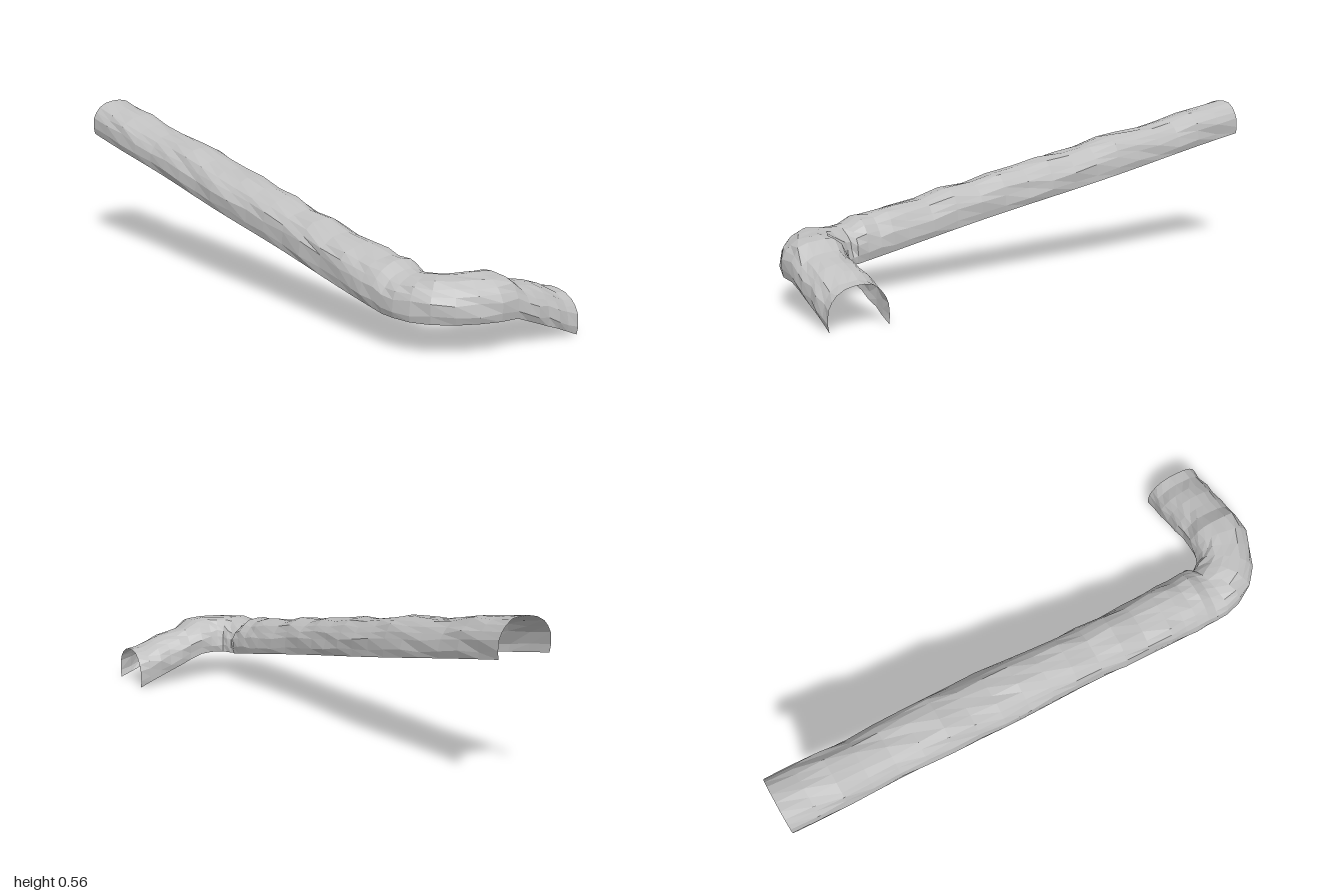
import * as THREE from 'three';

// Arch section: position across the passage (0 outer, 1 inner) and share of the height
const ARCH = [
  [0.01, 0], [-0.015, 0.2], [0, 0.5], [0.06, 0.68], [0.14, 0.82], [0.28, 0.94], [0.44, 0.99],
  [0.6, 1], [0.76, 0.95], [0.87, 0.82], [0.95, 0.66], [1, 0.48], [1.015, 0.2], [1, 0],
];

// Roof height along the ramp: z, top y
const ROOF = [
  [-1, 0.565], [-0.9, 0.545], [-0.8, 0.53], [-0.7, 0.505], [-0.6, 0.48], [-0.5, 0.472], [-0.4, 0.458],
  [-0.3, 0.432], [-0.2, 0.412], [-0.1, 0.397], [0, 0.378], [0.1, 0.36], [0.2, 0.336], [0.3, 0.327],
  [0.4, 0.296], [0.5, 0.284], [0.56, 0.275], [0.61, 0.262], [0.66, 0.258], [0.7, 0.238],
];

// Bend and lower passage: outer x, outer z, inner x, inner z, floor y, top y
const BEND = [
  [-0.285, 0.75, -0.088, 0.715, 0.112, 0.23],
  [-0.272, 0.81, -0.083, 0.732, 0.11, 0.234],
  [-0.24, 0.868, -0.076, 0.75, 0.11, 0.237],
  [-0.185, 0.92, -0.064, 0.766, 0.11, 0.237],
  [-0.12, 0.957, -0.045, 0.777, 0.11, 0.238],
  [-0.05, 0.983, -0.02, 0.783, 0.11, 0.239],
  [0.02, 0.985, 0.02, 0.785, 0.107, 0.234],
  [0.07, 0.983, 0.07, 0.79, 0.088, 0.203],
  [0.11, 0.985, 0.11, 0.785, 0.073, 0.19],
  [0.16, 0.985, 0.16, 0.787, 0.053, 0.181],
  [0.205, 0.986, 0.205, 0.783, 0.037, 0.164],
  [0.25, 0.987, 0.25, 0.786, 0.018, 0.142],
  [0.293, 0.99, 0.293, 0.785, 0, 0.137],
];

function seeded(seed) {
  return () => {
    seed = (seed * 16807) % 2147483647;
    return seed / 2147483647 - 0.5;
  };
}

// Joins the arch sections into one open shell
function tunnelGeometry(stations) {
  const noise = seeded(4711);
  const points = [];
  const index = [];
  const n = ARCH.length;
  stations.forEach(([ox, oz, ix, iz, floor, top], i) => {
    const atEnd = i === 0 || i === stations.length - 1;
    ARCH.forEach(([u, v], j) => {
      const rough = atEnd || v === 0 ? 0 : 1;
      const across = u + noise() * 0.05 * rough;
      const lift = noise() * 0.009 * rough * (v > 0.99 ? 0.3 : 1);
      points.push(
        ox + (ix - ox) * across,
        floor + (top - floor) * v + lift,
        oz + (iz - oz) * across,
      );
      if (i < stations.length - 1 && j < n - 1) {
        const a = i * n + j;
        index.push(a, a + n, a + 1, a + 1, a + n, a + n + 1);
      }
    });
  });
  const geometry = new THREE.BufferGeometry();
  geometry.setAttribute('position', new THREE.Float32BufferAttribute(points, 3));
  geometry.setIndex(index);
  const flat = geometry.toNonIndexed();
  flat.computeVertexNormals();
  return flat;
}

export function createModel() {
  const group = new THREE.Group();
  group.name = 'tunnel';
  const rock = new THREE.MeshStandardMaterial({ color: 0xc0c0c0, flatShading: true, side: THREE.DoubleSide });
  rock.name = 'grey rock';

  // Straight sloping passage with gently wavering walls
  const ramp = ROOF.map(([z, top]) => [
    -0.287 + 0.003 * Math.sin(z * 9), z,
    -0.088 + 0.008 * Math.sin(z * 6 + 3.6), z,
    0.44 - (z + 1) * 0.192, top,
  ]);

  const shell = new THREE.Mesh(tunnelGeometry([...ramp, ...BEND]), rock);
  shell.name = 'tunnelShell';
  group.add(shell);
  return group;
}
